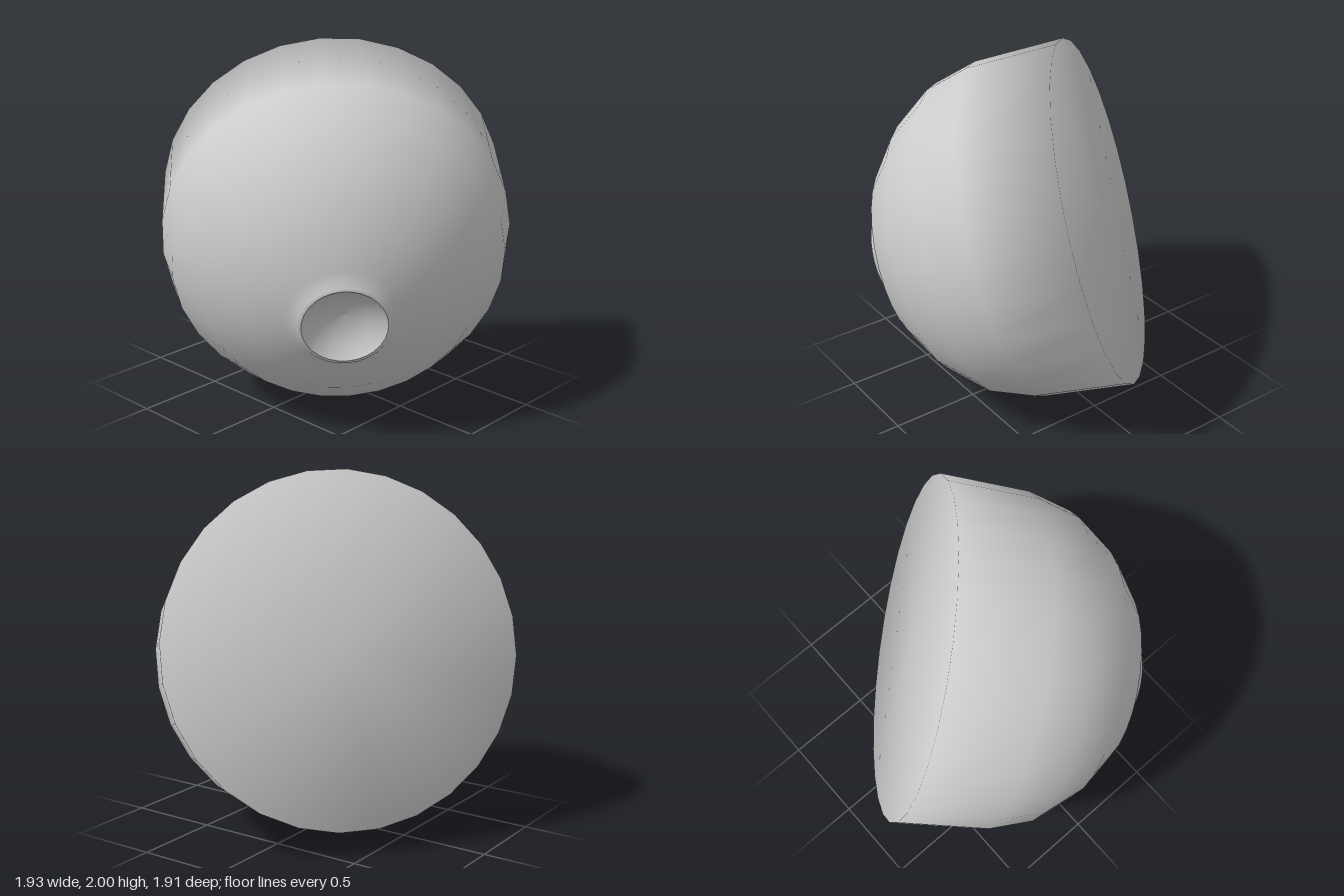
import * as THREE from 'three';

const SIDES = 28;

// Smooth turned surface from [radius, height] pairs
function turned(name, profile, material) {
  const points = profile.map(([r, h]) => new THREE.Vector2(r, h));
  const mesh = new THREE.Mesh(new THREE.LatheGeometry(points, SIDES), material);
  mesh.name = name;
  return mesh;
}

export function createModel() {
  const material = new THREE.MeshStandardMaterial({ color: 0xcccccc });
  const model = new THREE.Group();
  model.name = 'halfBall';

  // Turned about local y: the flat cut face lies at 0, the dome rises from it
  const body = new THREE.Group();
  body.name = 'tiltedBody';

  // Flat cut face, nearly straight wall and rounded dome, shaded as one skin
  body.add(turned('dome', [
    [0, 0], [0.975, 0], [0.96, 0.51], [0.893, 0.76], [0.728, 0.99],
    [0.51, 1.165], [0.31, 1.243], [0.26, 1.262], [0.238, 1.288], [0.22, 1.292],
  ], material));

  // Round dimple at the tip of the dome, inside its raised lip
  body.add(turned('dimple', [
    [0.22, 1.292], [0.205, 1.275], [0.165, 1.24], [0.11, 1.21], [0.055, 1.195], [0, 1.19],
  ], material));

  // Tip the dome axis toward the front, the right and slightly down
  const axis = new THREE.Vector3(-0.66, -0.28, 0.7).normalize();
  body.quaternion.setFromUnitVectors(new THREE.Vector3(0, 1, 0), axis);
  body.position.set(0.226, 1.062, -0.242);

  model.add(body);
  return model;
}
